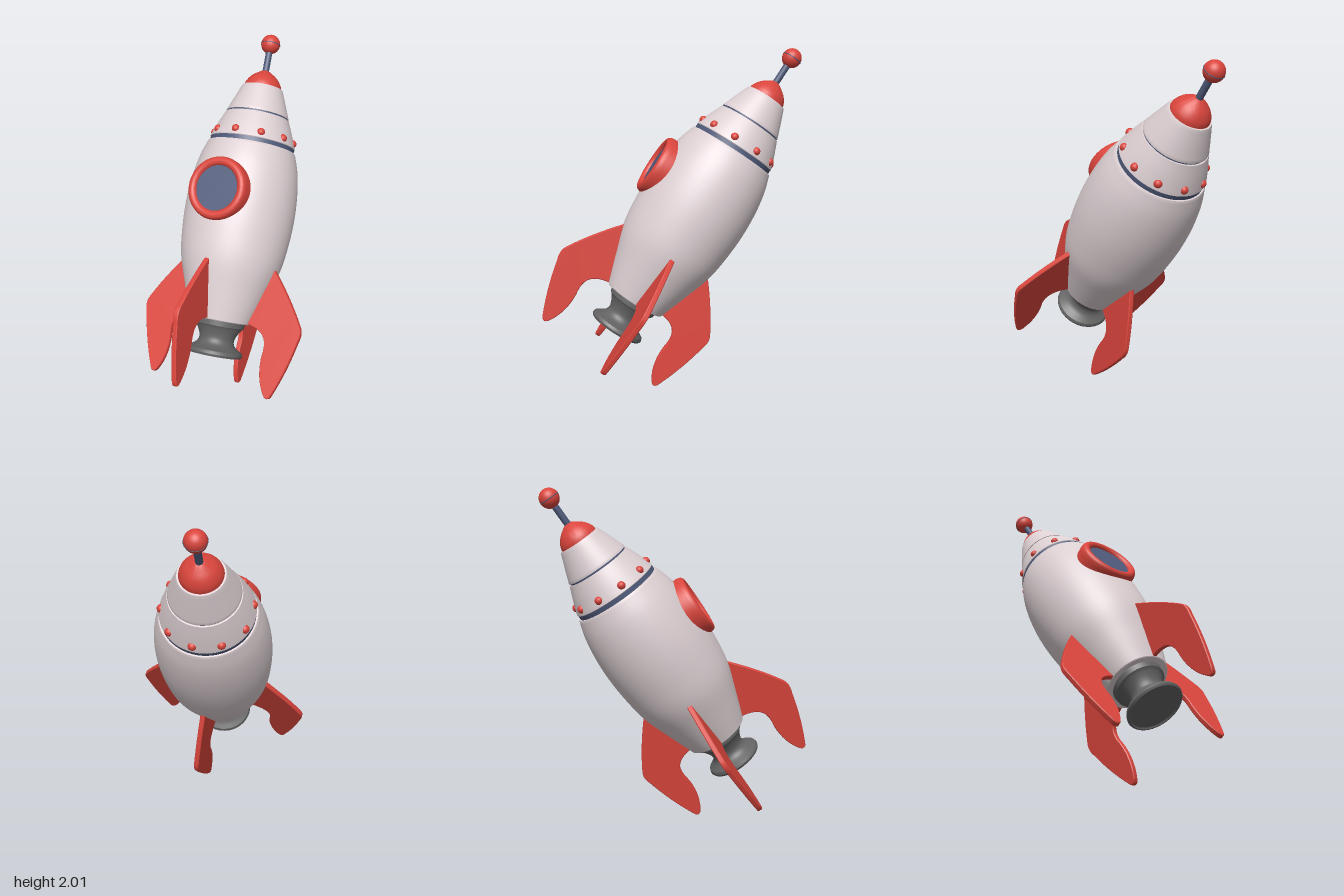
import * as THREE from 'three';
import { toCreasedNormals } from 'three/addons/utils/BufferGeometryUtils.js';

const material = (color) => new THREE.MeshStandardMaterial({ color });
const cream = material(0xdccfd2), red = material(0xd9453c);
const navy = material(0x4f5a7a), grey = material(0x636363);

const v2 = ([x, y]) => new THREE.Vector2(x, y);

function add(parent, name, geometry, mat) {
  const mesh = new THREE.Mesh(geometry, mat);
  mesh.name = name;
  parent.add(mesh);
  return mesh;
}

// Turned part: profile of [radius, height] pairs from bottom to top, hard edges kept
function turned(parent, name, profile, mat, segments = 64) {
  const lathe = new THREE.LatheGeometry(profile.map(v2), segments);
  return add(parent, name, toCreasedNormals(lathe, 0.5), mat);
}

// Smooth run of profile points
const smooth = (points, n) => new THREE.SplineCurve(points.map(v2)).getPoints(n).map((p) => [p.x, p.y]);

function finGeometry() {
  const s = new THREE.Shape();
  s.moveTo(0.14, 0.22);
  s.lineTo(0.2, 0.215);
  s.bezierCurveTo(0.29, 0.2, 0.325, 0.16, 0.318, 0.08);
  s.bezierCurveTo(0.305, 0, 0.32, -0.09, 0.36, -0.155);
  s.quadraticCurveTo(0.385, -0.2, 0.41, -0.17);
  s.bezierCurveTo(0.45, -0.08, 0.49, 0.03, 0.52, 0.17);
  s.quadraticCurveTo(0.54, 0.225, 0.515, 0.265);
  s.quadraticCurveTo(0.43, 0.41, 0.295, 0.565);
  s.lineTo(0.25, 0.5);
  s.closePath();
  const g = new THREE.ExtrudeGeometry(s, {
    depth: 0.02, bevelEnabled: true, bevelThickness: 0.005, bevelSize: 0.004,
    bevelOffset: -0.004, bevelSegments: 1, curveSegments: 10,
  });
  g.translate(0, 0, -0.01);
  return toCreasedNormals(g, 0.5);
}

export function createModel() {
  const model = new THREE.Group();
  model.name = 'rocketModel';

  // The rocket is built upright, then leaned over in flight
  const rocket = new THREE.Group();
  rocket.name = 'rocket';
  model.add(rocket);

  // Hull: straight lower cone running into a bulging barrel
  turned(rocket, 'hull', [
    [0, 0.21], [0.185, 0.21],
    ...smooth([[0.19, 0.214], [0.25, 0.39], [0.304, 0.56], [0.326, 0.72], [0.333, 0.88],
      [0.324, 1.03], [0.302, 1.16], [0.27, 1.262]], 40),
    [0.266, 1.268], [0, 1.268],
  ], cream);
  turned(rocket, 'hullBand', [[0.257, 1.26], [0.257, 1.3]], navy);

  // Nose cone in two stages with a thin dark seam between them
  turned(rocket, 'lowerNose', [
    [0, 1.293], [0.256, 1.293], [0.26, 1.298],
    ...smooth([[0.257, 1.308], [0.228, 1.385], [0.196, 1.46]], 8), [0, 1.46],
  ], cream);
  turned(rocket, 'noseSeam', [[0.187, 1.455], [0.187, 1.475]], navy);
  turned(rocket, 'upperNose', [
    [0, 1.47], [0.192, 1.47],
    ...smooth([[0.192, 1.472], [0.16, 1.555], [0.128, 1.635]], 8),
    [0.124, 1.642], [0, 1.642],
  ], cream);

  // Tip with antenna and ball
  turned(rocket, 'noseTip', smooth([[0.116, 1.635], [0.108, 1.668], [0.082, 1.706],
    [0.045, 1.735], [0.02, 1.75], [0, 1.752]], 20), red);
  add(rocket, 'antenna', new THREE.CylinderGeometry(0.02, 0.02, 0.17, 24), navy).position.y = 1.81;
  add(rocket, 'antennaBall', new THREE.SphereGeometry(0.058, 32, 20), red).position.y = 1.92;
  const seam = add(rocket, 'ballSeam', new THREE.TorusGeometry(0.057, 0.003, 6, 40), navy);
  seam.rotation.x = Math.PI / 2;
  seam.position.y = 1.92;

  // Exhaust nozzle
  turned(rocket, 'nozzle', [
    [0, 0.008], [0.15, 0.008], [0.156, 0],
    ...smooth([[0.162, 0], [0.17, 0.014], [0.164, 0.032]], 6),
    ...smooth([[0.15, 0.04], [0.118, 0.062], [0.105, 0.095], [0.118, 0.135], [0.14, 0.17]], 12),
    [0.15, 0.178], [0.155, 0.213],
  ], grey);

  // Ring of ten rivets
  for (let i = 0; i < 10; i++) {
    const a = (i / 10) * Math.PI * 2;
    add(rocket, 'rivet', new THREE.SphereGeometry(0.024, 16, 12), red)
      .position.set(Math.sin(a) * 0.242, 1.33, Math.cos(a) * 0.242);
  }

  // Four fins
  const fin = finGeometry();
  for (let i = 0; i < 4; i++) add(rocket, 'fin', fin, red).rotation.y = (i * Math.PI) / 2;

  // Round window facing local +z
  const porthole = new THREE.Group();
  porthole.name = 'porthole';
  porthole.position.set(0, 0.957, 0);
  porthole.rotation.x = Math.PI / 2;
  rocket.add(porthole);
  turned(porthole, 'windowFrame', [
    [0.183, 0.23],
    ...smooth([[0.185, 0.325], [0.178, 0.35], [0.16, 0.361], [0.142, 0.356], [0.133, 0.345]], 14),
    [0.131, 0.33],
  ], red);
  add(porthole, 'windowGlass', new THREE.CylinderGeometry(0.134, 0.134, 0.03, 48), navy).position.y = 0.324;

  // Lean and roll
  const up = new THREE.Vector3(0.354, 0.822, -0.446).normalize();
  const side = new THREE.Vector3().crossVectors(up, new THREE.Vector3(-0.66, 0.557, 0.505)).normalize();
  const out = new THREE.Vector3().crossVectors(side, up);
  rocket.quaternion.setFromRotationMatrix(new THREE.Matrix4().makeBasis(side, up, out));
  rocket.position.set(-0.2, 0.367, 0.266);
  return model;
}
